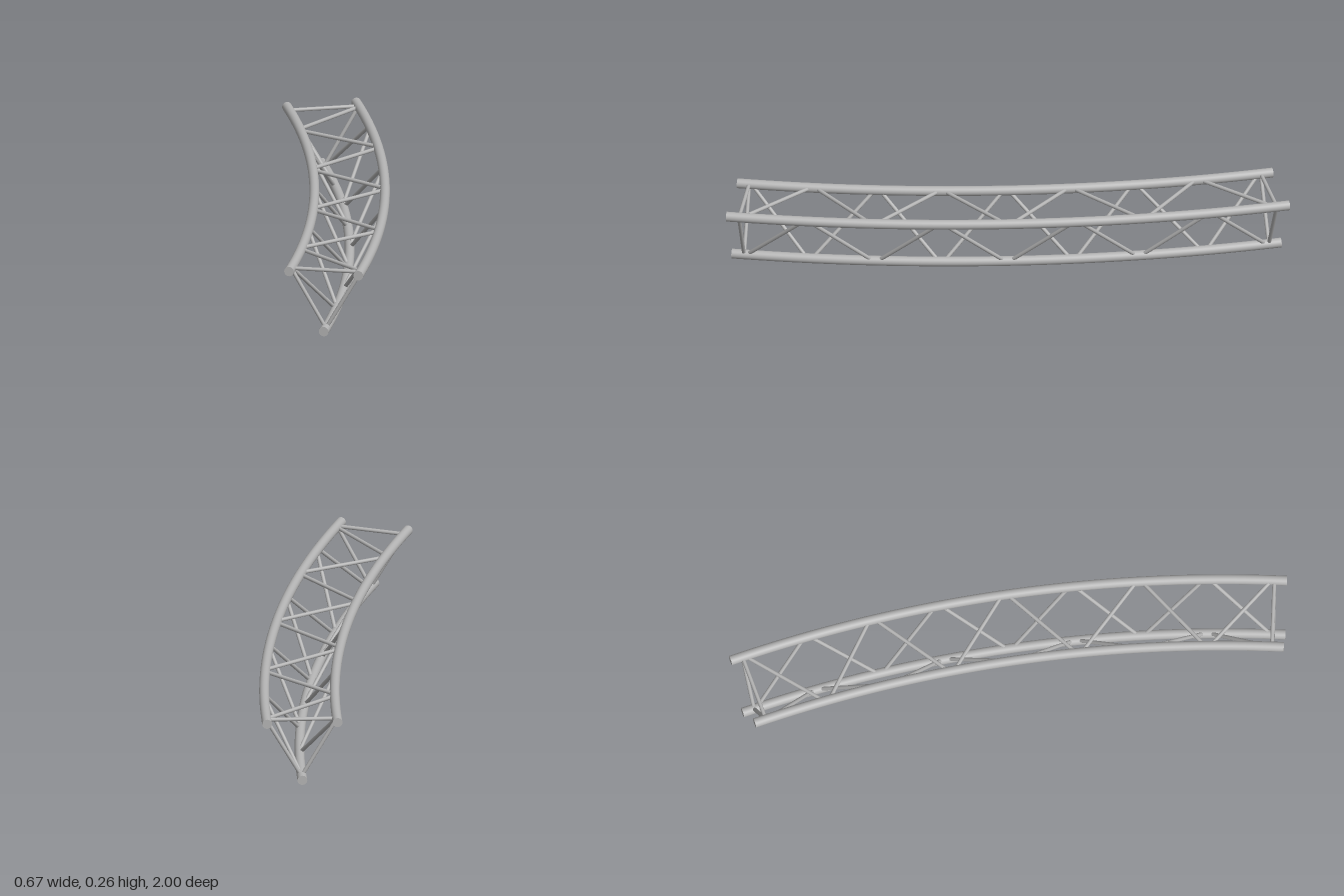
import * as THREE from 'three';

const DEG = Math.PI / 180;
const SWEEP = 22.5;          // arc of the whole truss, in degrees
const CENTRE_X = -4.894;     // bend centre lies at this x, at z = 1
const CHORD_R = 0.0178;
const BRACE_R = 0.007;
const BAYS = 8;
const INSET = 0.5;           // end frames sit this many degrees from the ends
const GAP = 0.1;             // diagonals land just beside their node

// The three main tubes
const chords = {
  outer: { radius: 5.209, y: 0.238 },
  inner: { radius: 4.954, y: 0.238 },
  bottom: { radius: 5.0815, y: CHORD_R },
};

function pointOn(chord, deg) {
  const a = deg * DEG;
  return new THREE.Vector3(
    CENTRE_X + chord.radius * Math.cos(a), chord.y, 1 - chord.radius * Math.sin(a));
}

class ArcCurve extends THREE.Curve {
  constructor(chord) {
    super();
    this.chord = chord;
  }
  getPoint(t, target = new THREE.Vector3()) {
    return target.copy(pointOn(this.chord, t * SWEEP));
  }
}

export function createModel() {
  const model = new THREE.Group();
  model.name = 'curvedTriangularTruss';
  const metal = new THREE.MeshStandardMaterial({ color: 0xb4b4b4 });
  metal.name = 'aluminium grey';

  // Curved chords with flat end caps
  for (const [name, chord] of Object.entries(chords)) {
    const group = new THREE.Group();
    group.name = name + 'Chord';
    const tube = new THREE.Mesh(
      new THREE.TubeGeometry(new ArcCurve(chord), 40, CHORD_R, 24, false), metal);
    tube.name = name + 'Tube';
    group.add(tube);
    for (const [deg, sign] of [[0, 1], [SWEEP, -1]]) {
      const cap = new THREE.Mesh(new THREE.CircleGeometry(CHORD_R, 24), metal);
      cap.name = name + 'EndCap';
      const a = deg * DEG;
      cap.position.copy(pointOn(chord, deg));
      cap.lookAt(cap.position.clone().add(
        new THREE.Vector3(Math.sin(a) * sign, 0, Math.cos(a) * sign)));
      group.add(cap);
    }
    model.add(group);
  }

  // Straight round bar between two points
  function addBrace(name, a, b) {
    const dir = b.clone().sub(a);
    const bar = new THREE.Mesh(
      new THREE.CylinderGeometry(BRACE_R, BRACE_R, dir.length(), 12), metal);
    bar.name = name;
    bar.position.copy(a).add(b).multiplyScalar(0.5);
    bar.quaternion.setFromUnitVectors(new THREE.Vector3(0, 1, 0), dir.normalize());
    model.add(bar);
  }

  // Each face: chord touched at even nodes, chord touched at odd nodes
  const faces = [
    ['top', chords.outer, chords.inner],
    ['outerSide', chords.bottom, chords.outer],
    ['innerSide', chords.inner, chords.bottom],
  ];
  const node = (i) => INSET + (i * (SWEEP - 2 * INSET)) / BAYS;

  for (const [name, even, odd] of faces) {
    // Triangular end frames
    for (const i of [0, BAYS]) {
      addBrace(name + 'EndBar', pointOn(even, node(i)), pointOn(odd, node(i)));
    }
    // Zigzag diagonals
    for (let i = 0; i < BAYS; i++) {
      const [from, to] = i % 2 === 0 ? [even, odd] : [odd, even];
      addBrace(name + 'Diagonal',
        pointOn(from, node(i) + GAP), pointOn(to, node(i + 1) - GAP));
    }
  }
  return model;
}
